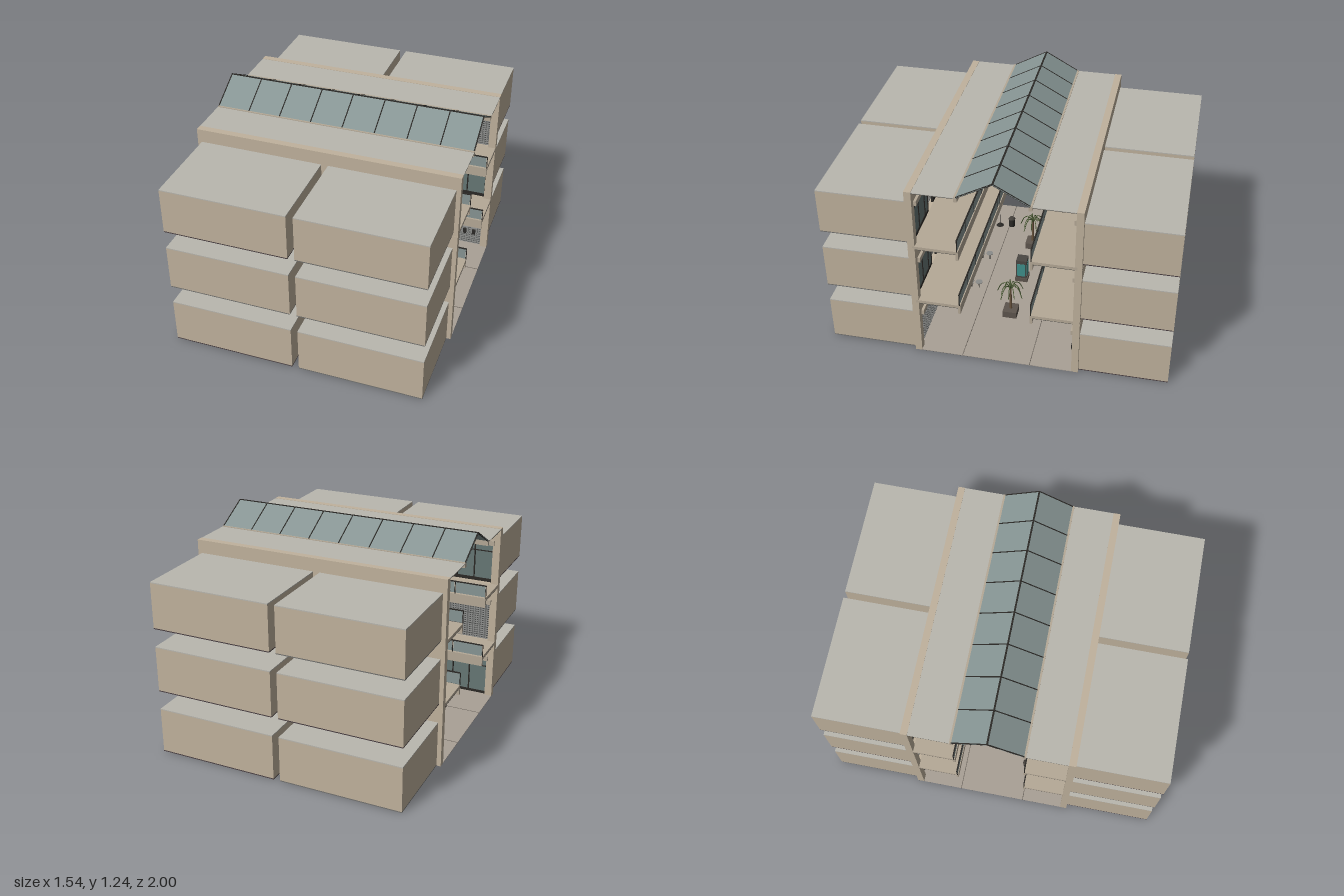
import * as THREE from 'three';

const mats = {};
const mat = (color) => (mats[color] ??= new THREE.MeshStandardMaterial({ color, side: THREE.DoubleSide, flatShading: true }));
const C = { tan: 0xc0b29d, top: 0xb9b7af, dark: 0x2b2926, glass: 0x677775, sky: 0x879594, floor: 0xa9a096,
  tile: 0x57554f, steel: 0x8b8c8a, wood: 0xa98a62, teal: 0x3f8f8a, red: 0xa8453c, green: 0x4b5a35, slab: 0xb5a997 };

function mesh(parent, name, geometry, color, x = 0, y = 0, z = 0) {
  const m = new THREE.Mesh(geometry, mat(color));
  m.name = name;
  m.position.set(x, y, z);
  parent.add(m);
  return m;
}

// box given by its limits on each axis
function box(parent, name, color, x0, x1, y0, y1, z0, z1) {
  const g = new THREE.BoxGeometry(Math.abs(x1 - x0), Math.abs(y1 - y0), Math.abs(z1 - z0));
  return mesh(parent, name, g, color, (x0 + x1) / 2, (y0 + y1) / 2, (z0 + z1) / 2);
}

function group(parent, name, x = 0, y = 0, z = 0) {
  const g = new THREE.Group();
  g.name = name;
  g.position.set(x, y, z);
  parent.add(g);
  return g;
}

const W = 0.77, LEVEL = 0.385;

// hollow shop unit behind the arcade wall; s is the z side, k the x side
function shopUnit(parent, s, k, y, floorColor) {
  const g = group(parent, 'shopUnit', 0, y, 0);
  const x0 = k * 0.02, x1 = k * 0.745, h = 0.277, t = 0.006;
  box(g, 'shopFloor', floorColor, x0, x1, 0, t, s * 0.484, s * 1);
  box(g, 'shopRoof', C.top, x0, x1, h - t, h, s * 0.484, s * 1);
  box(g, 'shopBackWall', C.tan, x0, x1, t, h - t, s * (1 - t), s * 1);
  box(g, 'shopInnerSide', C.tan, x0, x0 + k * t, t, h - t, s * 0.484, s * (1 - t));
  box(g, 'shopOuterSide', C.tan, x1 - k * t, x1, t, h - t, s * 0.484, s * (1 - t));
  return g;
}

// glazed front with an open doorway and a few furnishings
function glassFront(g, s, k, style) {
  const z = s * 0.465, xs = [0.06, 0.17, 0.28, 0.34, 0.44, 0.5, 0.61, 0.725];
  xs.forEach((x, i) => {
    box(g, 'mullion', C.dark, k * x - 0.004, k * x + 0.004, 0, 0.25, z - 0.006, z + 0.006);
    if (i < 7 && i !== 3) box(g, 'glassPane', C.glass, k * x, k * xs[i + 1], 0.02, 0.25, z - 0.002, z + 0.002);
  });
  for (const y of [0.195, 0.247]) box(g, 'transom', C.dark, k * 0.06, k * 0.725, y, y + 0.006, z - 0.006, z + 0.006);
  box(g, 'sill', C.dark, k * 0.06, k * 0.34, 0, 0.02, z - 0.006, z + 0.006);
  box(g, 'sill', C.dark, k * 0.44, k * 0.725, 0, 0.02, z - 0.006, z + 0.006);
  box(g, 'windowDisplay', 0x77656f, k * 0.35, k * 0.39, 0.006, 0.18, s * 0.5, s * 0.51);
  box(g, 'counter', C.wood, k * 0.3, k * 0.5, 0.006, 0.07, s * 0.68, s * 0.72);
  for (let i = 0; i < 3; i++)
    box(g, 'shelf', style ? 0x806d58 : C.wood, k * 0.08, k * 0.7, 0.05 + i * 0.06, 0.057 + i * 0.06, s * 0.93, s * 0.99);
}

// closed lattice shutter
function shutterFront(g, s, k) {
  const z = s * 0.465;
  box(g, 'shutterBacking', 0x4c4d4c, k * 0.06, k * 0.725, 0, 0.25, z, z + s * 0.004);
  for (let i = 0; i < 18; i++)
    box(g, 'shutterSlat', C.steel, k * 0.06, k * 0.725, i * 0.0138, i * 0.0138 + 0.005, z - s * 0.005, z);
  for (let i = 0; i <= 40; i++) {
    const x = k * (0.06 + i * 0.0166);
    box(g, 'shutterBar', C.steel, x - 0.003, x + 0.003, 0, 0.25, z - s * 0.004, z);
  }
}

// one level of wall with two shop openings, fascia, signs and shops
function storey(parent, s, n) {
  const g = group(parent, 'storey', 0, n * LEVEL, 0);
  const h = n === 2 ? 0.36 : 0.365, a = s * 0.445, b = s * 0.485;
  box(g, 'middlePier', C.tan, -0.05, 0.05, 0, 0.26, a, b);
  box(g, 'fascia', C.tan, -W, W, 0.25, h, a, b);
  for (const k of [-1, 1]) {
    box(g, 'endPier', C.tan, k * 0.725, k * W, 0, 0.25, a, b);
    const dark = (s * k < 0) !== (n === 1 && k < 0);
    const unit = shopUnit(g, s, k, n === 0 ? 0 : 0.004, dark ? 0x4a3f42 : 0x73726f);
    const shut = s < 0 ? (k > 0) === (n !== 1) : (k < 0 ? n === 1 : n === 0);
    if (shut) shutterFront(unit, s, k); else glassFront(unit, s, k, n % 2);
    box(g, 'signLedge', C.slab, k * 0.05, k * 0.735, 0.25, 0.28, s * 0.43, a);
    box(g, 'shopSign', n === 1 ? C.teal : C.red, k * 0.25, k * 0.53, 0.295, 0.335, s * 0.439, a);
    for (let i = 0; i < 6; i++)
      box(g, 'signPanel', 0xcfc8b8, k * (0.275 + i * 0.042), k * (0.3 + i * 0.042), 0.304, 0.326, s * 0.437, s * 0.44);
  }
}

// gallery walkway with edge beam, tiled soffit and glass balustrade
function gallery(parent, s, n) {
  const g = group(parent, 'gallery', 0, n * LEVEL, 0);
  box(g, 'gallerySlab', C.slab, -W, W, -0.018, 0, s * 0.2, s * 0.46);
  box(g, 'wallBand', C.tan, -W, W, -0.02, 0, s * 0.445, s * 0.484);
  box(g, 'edgeBeam', C.slab, -W, W, -0.06, 0, s * 0.2, s * 0.214);
  soffit(g, s, -0.019);
  for (let i = 0; i < 8; i++) {
    const x = -W + i * 0.1925;
    box(g, 'glassPanel', C.sky, x + 0.005, x + 0.1875, 0.006, 0.073, s * 0.204, s * 0.207);
  }
  for (let i = 0; i <= 8; i++) {
    const x = -W + i * 0.1925;
    box(g, 'railPost', C.dark, x - 0.002, x + 0.002, 0, 0.078, s * 0.203, s * 0.208);
  }
  box(g, 'handrail', C.dark, -W, W, 0.074, 0.08, s * 0.202, s * 0.209);
}

function soffit(g, s, y) {
  box(g, 'ceilingPanel', C.tile, -W, W, y - 0.002, y, s * 0.214, s * 0.445);
  for (let i = 1; i < 16; i++)
    box(g, 'ceilingJoint', C.dark, -W + i * 0.09625 - 0.001, -W + i * 0.09625 + 0.001, y - 0.004, y - 0.002, s * 0.214, s * 0.445);
  for (const z of [0.29, 0.368])
    box(g, 'ceilingJoint', C.dark, -W, W, y - 0.004, y - 0.002, s * z - 0.001, s * z + 0.001);
}

// pitched glass roof over the central void
function skylight(parent) {
  const g = group(parent, 'skylight');
  const len = Math.hypot(0.2, 0.11), tilt = Math.atan2(0.11, 0.2);
  for (const s of [-1, 1]) {
    const slope = group(g, 'skylightSlope', 0, 1.185, s * 0.1);
    slope.rotation.x = s * tilt;
    box(slope, 'skylightGlass', C.sky, -W, W, -0.002, 0.002, -len / 2, len / 2);
    for (let i = 0; i <= 8; i++) {
      const x = -0.767 + i * 0.19175;
      box(slope, 'glazingBar', C.dark, x - 0.003, x + 0.003, -0.004, 0.004, -len / 2, len / 2);
    }
    box(g, 'skylightBeam', C.slab, -W, W, 1.102, 1.132, s * 0.192, s * 0.212);
    box(g, 'flatRoof', C.top, -W, W, 1.125, 1.128, s * 0.2, s * 0.462);
    soffit(g, s, 1.124);
  }
  box(g, 'ridge', C.dark, -W, W, 1.236, 1.243, -0.005, 0.005);
}

function planter(parent, x) {
  const g = group(parent, 'palmPlanter', x);
  box(g, 'planterTub', 0x5d554d, -0.045, 0.045, 0, 0.048, -0.043, 0.043);
  mesh(g, 'palmTrunk', new THREE.CylinderGeometry(0.005, 0.009, 0.16, 7), 0x65503a, 0, 0.125, 0);
  for (let i = 0; i < 11; i++) {
    const a = i * Math.PI * 2 / 11, r = i % 2 ? 0.085 : 0.06;
    const p = [[0, 0.2], [0.35, 0.238], [0.7, 0.222], [1, 0.165]].map(([q, y]) =>
      new THREE.Vector3(Math.cos(a) * r * q, y, Math.sin(a) * r * q));
    mesh(g, 'palmFrond', new THREE.TubeGeometry(new THREE.CatmullRomCurve3(p), 8, 0.003, 4), C.green);
  }
}

function chair(parent, x, z, turn) {
  const g = group(parent, 'chair', x, 0, z);
  g.rotation.y = turn;
  box(g, 'chairSeat', C.steel, -0.018, 0.018, 0.028, 0.032, -0.018, 0.018);
  box(g, 'chairBack', C.steel, -0.018, 0.018, 0.036, 0.06, -0.02, -0.016);
  mesh(g, 'chairStem', new THREE.CylinderGeometry(0.003, 0.003, 0.03, 6), C.dark, 0, 0.015, 0);
  box(g, 'chairFoot', C.dark, -0.014, 0.014, 0, 0.003, -0.014, 0.014);
}

export function createModel() {
  const model = new THREE.Group();
  model.name = 'shoppingArcade';

  // ground slab with joint lines
  box(model, 'groundFloor', C.floor, -W, W, 0, 0.004, -0.46, 0.46);
  box(model, 'groundUnderside', C.tile, -W, W, 0, 0.001, -0.484, 0.484);
  for (const z of [-0.2, 0.2]) box(model, 'floorJoint', 0x6d665e, -W, W, 0.004, 0.005, z - 0.002, z + 0.002);

  for (const s of [-1, 1]) {
    for (let n = 0; n < 3; n++) storey(model, s, n);
    for (let n = 1; n < 3; n++) gallery(model, s, n);
  }
  skylight(model);

  // hanging lamps
  for (const x of [-0.6, -0.2, 0.2, 0.6]) {
    mesh(model, 'lampShade', new THREE.ConeGeometry(0.02, 0.018, 12), C.dark, x, 0.872, 0);
    mesh(model, 'lampCord', new THREE.CylinderGeometry(0.001, 0.001, 0.355, 4), C.dark, x, 1.058, 0);
  }

  // concourse furniture
  planter(model, -0.35);
  planter(model, 0.35);
  const kiosk = group(model, 'directoryStand');
  box(kiosk, 'standBase', 0x5d554d, -0.04, 0.04, 0, 0.03, -0.04, 0.04);
  box(kiosk, 'standBody', 0x4a4642, -0.034, 0.034, 0.03, 0.165, -0.034, 0.034);
  for (const s of [-1, 1]) {
    box(kiosk, 'standPanel', C.teal, s * 0.034, s * 0.036, 0.045, 0.14, -0.026, 0.026);
    box(kiosk, 'standPanel', C.teal, -0.026, 0.026, 0.045, 0.14, s * 0.034, s * 0.036);
  }
  const bin = group(model, 'litterBin', -0.54, 0, 0.185);
  mesh(bin, 'binBody', new THREE.CylinderGeometry(0.021, 0.02, 0.062, 16), C.dark, 0, 0.031, 0);
  mesh(bin, 'binLid', new THREE.CylinderGeometry(0.015, 0.024, 0.012, 16), 0x45413c, 0, 0.068, 0);
  for (const x of [-0.15, 0.15]) {
    chair(model, x, -0.15, Math.PI);
    mesh(model, 'tableTop', new THREE.CylinderGeometry(0.022, 0.022, 0.004, 16), C.steel, x, 0.05, 0.25);
    mesh(model, 'tableStem', new THREE.CylinderGeometry(0.003, 0.003, 0.05, 6), C.dark, x, 0.025, 0.25);
    box(model, 'stool', C.steel, x - 0.015, x + 0.015, 0.042, 0.046, 0.285, 0.312);
    box(model, 'stoolLeg', C.dark, x - 0.003, x + 0.003, 0, 0.042, 0.295, 0.301);
  }

  // wall telephones
  for (const x of [0.62, 0.68]) {
    box(model, 'telephoneBooth', C.steel, x - 0.02, x + 0.02, 0.085, 0.135, -0.462, -0.445);
    box(model, 'telephone', C.dark, x - 0.01, x + 0.01, 0.095, 0.127, -0.445, -0.43);
  }
  return model;
}
